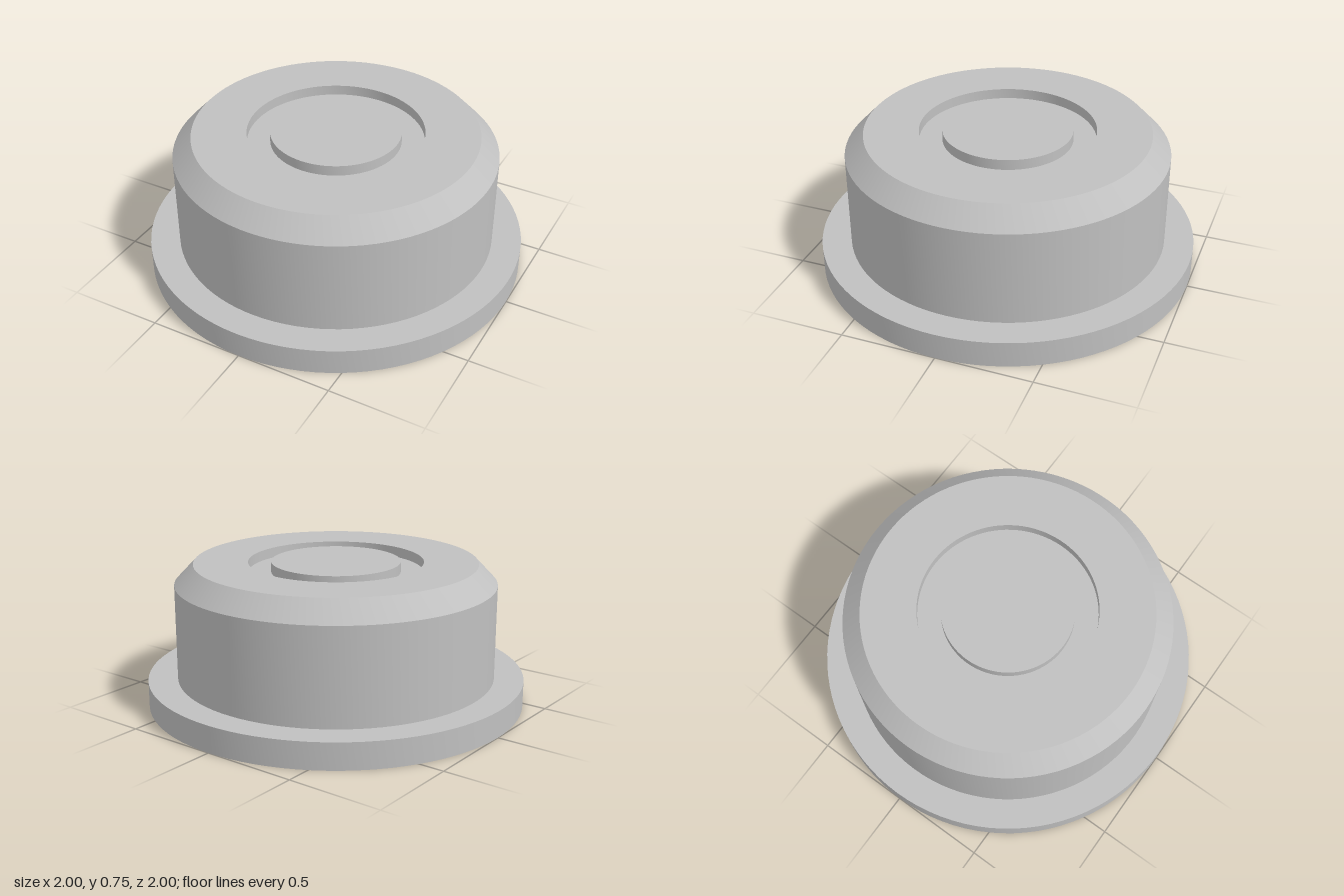
import * as THREE from 'three';
import { toCreasedNormals } from 'three/addons/utils/BufferGeometryUtils.js';

const SEGMENTS = 96;

export function createModel() {
  const model = new THREE.Group();
  model.name = 'flangedPlug';
  const grey = new THREE.MeshStandardMaterial({ color: 0xc0c0c0 });
  grey.name = 'plainGrey';

  // Turns a [radius, height] profile about the y axis, keeping its corners sharp
  function turned(name, profile) {
    const points = profile.map(([r, y]) => new THREE.Vector2(r, y));
    const geometry = toCreasedNormals(new THREE.LatheGeometry(points, SEGMENTS), Math.PI / 6);
    const mesh = new THREE.Mesh(geometry, grey);
    mesh.name = name;
    model.add(mesh);
  }

  const height = 0.75, flangeTop = 0.14, grooveFloor = 0.695;
  const bodyRadius = 0.845, boreRadius = 0.325, boreTop = 0.6;

  // Blind bore opening in the underside
  turned('bore', [[0, boreTop], [boreRadius, boreTop], [boreRadius, 0]]);

  // Wide base flange
  turned('flange', [[boreRadius, 0], [1, 0], [1, flangeTop], [bodyRadius, flangeTop]]);

  // Main drum with its chamfered rim and flat top
  turned('body', [[bodyRadius, flangeTop], [bodyRadius, 0.645], [0.745, height], [0.46, height]]);

  // Shallow ring groove in the top
  turned('groove', [[0.46, height], [0.46, grooveFloor], [0.34, grooveFloor]]);

  // Round centre boss, flush with the top
  turned('centreBoss', [[0.34, grooveFloor], [0.34, height], [0, height]]);

  return model;
}
